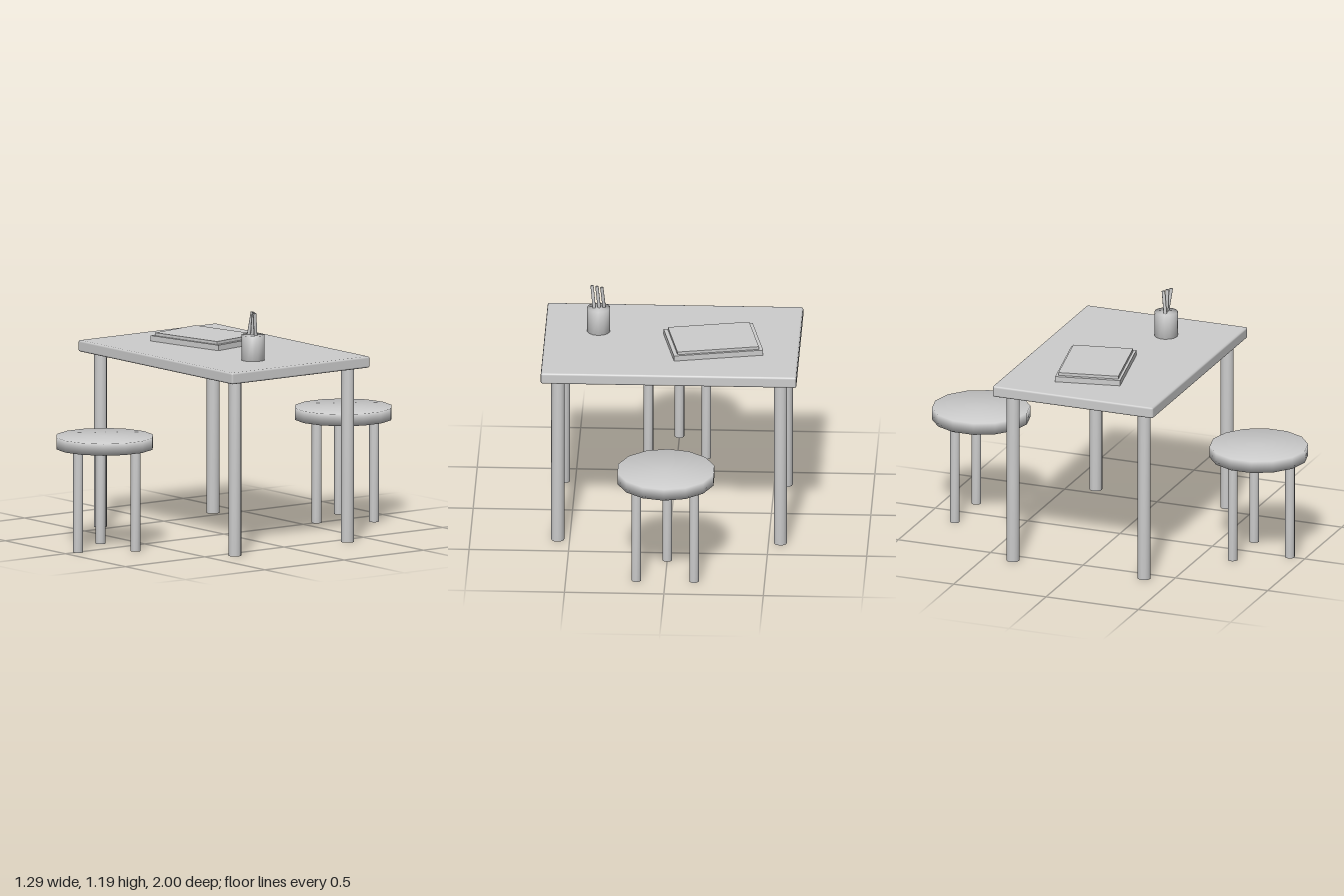
import * as THREE from 'three';
import { mergeVertices } from 'three/addons/utils/BufferGeometryUtils.js';
import { RoundedBoxGeometry } from 'three/addons/geometries/RoundedBoxGeometry.js';

const grey = new THREE.MeshStandardMaterial({ color: 0xcccccc });
grey.name = 'plainGrey';

function mesh(name, geometry, x, y, z) {
  const m = new THREE.Mesh(geometry, grey);
  m.name = name;
  m.position.set(x, y, z);
  return m;
}

// Low-poly cylinder whose normals are smoothed across the rims
function softCylinder(radius, height, sides) {
  const g = new THREE.CylinderGeometry(radius, radius, height, sides);
  g.deleteAttribute('uv');
  g.deleteAttribute('normal');
  const soft = mergeVertices(g);
  soft.computeVertexNormals();
  return soft;
}

function createTable() {
  const table = new THREE.Group();
  table.name = 'table';
  table.add(mesh('tableTop', new RoundedBoxGeometry(1.286, 0.058, 0.87, 1, 0.01), 0, 0.918, 0));
  const leg = softCylinder(0.033, 0.89, 12);
  for (const x of [-0.56, 0.56])
    for (const z of [-0.355, 0.355]) table.add(mesh('tableLeg', leg, x, 0.445, z));
  return table;
}

function createStool(z) {
  const stool = new THREE.Group();
  stool.name = 'stool';
  stool.position.z = z;
  stool.add(mesh('stoolSeat', softCylinder(0.248, 0.06, 14), 0, 0.545, 0));
  // Three legs evenly spaced, one of them facing the front
  const leg = softCylinder(0.025, 0.516, 10);
  for (let i = 0; i < 3; i++) {
    const a = (i * Math.PI * 2) / 3;
    stool.add(mesh('stoolLeg', leg, Math.sin(a) * 0.168, 0.258, Math.cos(a) * 0.168));
  }
  return stool;
}

function createBook() {
  const book = new THREE.Group();
  book.name = 'book';
  book.position.set(-0.21, 0.947, -0.047);
  book.rotation.y = 0.2;
  book.add(mesh('bookBase', new THREE.BoxGeometry(0.454, 0.028, 0.332), 0, 0.014, 0));
  book.add(mesh('bookUpper', new THREE.BoxGeometry(0.414, 0.015, 0.306), 0, 0.0355, 0));
  return book;
}

function createPencilCup() {
  const holder = new THREE.Group();
  holder.name = 'pencilCup';
  holder.position.set(0.373, 0.947, 0.1);
  holder.add(mesh('cup', softCylinder(0.059, 0.128, 14), 0, 0.064, 0));
  // Pencils lean to the side and fan out front to back
  const pencil = softCylinder(0.009, 0.18, 6);
  for (const i of [-1, 0, 1]) {
    const p = mesh('pencil', pencil, i * 0.025, 0.153, 0.003);
    p.rotation.set(i * 0.13, 0, -0.1);
    holder.add(p);
  }
  return holder;
}

export function createModel() {
  const model = new THREE.Group();
  model.name = 'tableWithStools';
  model.add(createTable(), createStool(0.752), createStool(-0.752), createBook(), createPencilCup());
  return model;
}
